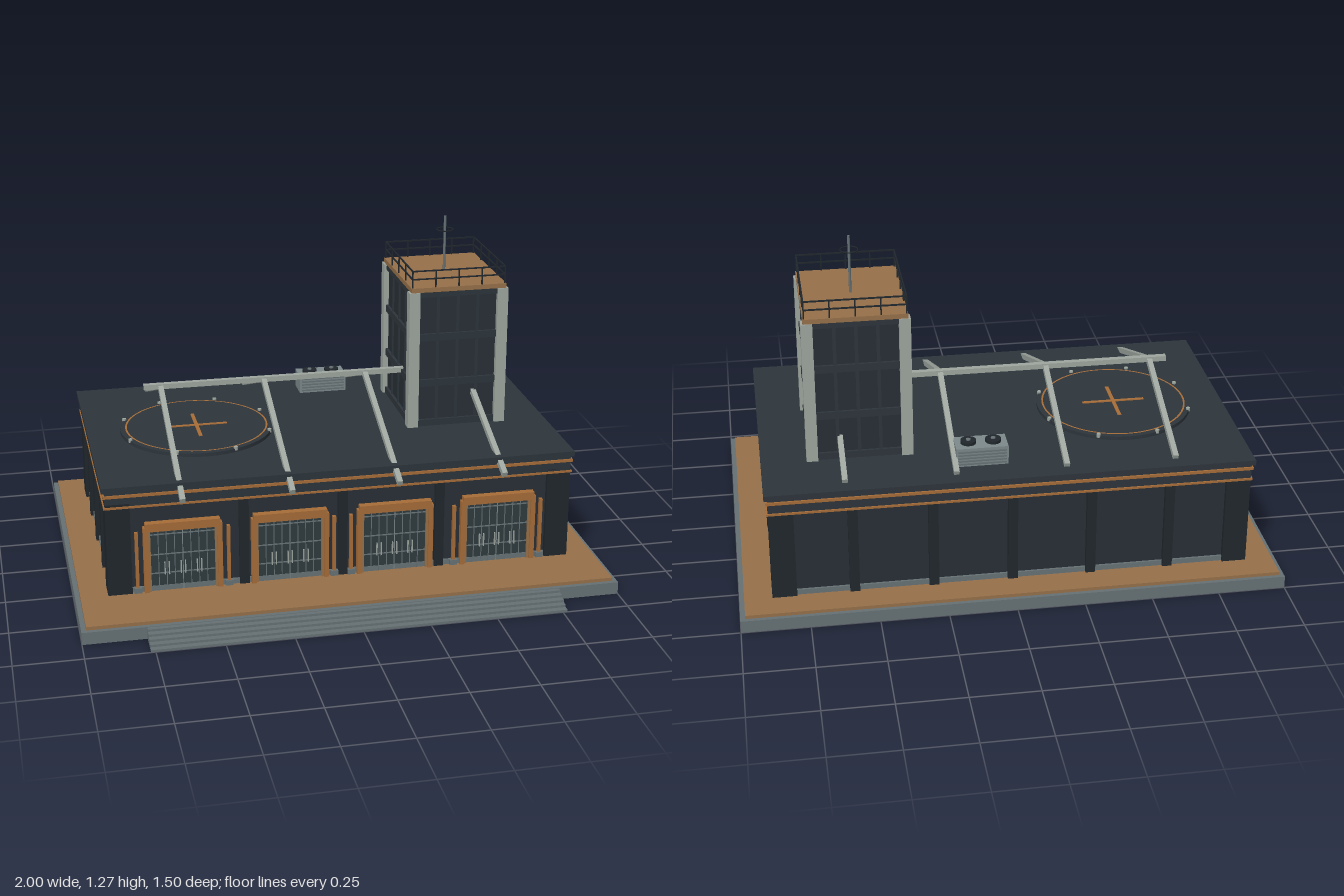
import * as THREE from 'three';

const mat = (name, color, extra = {}) => {
  const m = new THREE.MeshStandardMaterial({ color, ...extra });
  m.name = name;
  return m;
};

export function createModel() {
  const stone = mat('stone grey', 0x667174);
  const deck = mat('copper deck', 0x96704a);
  const trim = mat('copper trim', 0xa66c38);
  const dark = mat('dark cladding', 0x2d353b);
  const panel = mat('wall panel', 0x282f36);
  const black = mat('pilaster black', 0x20272c);
  const glass = mat('door glass', 0x2f3a3e);
  const steel = mat('pale steel', 0x9ea69f);
  const metal = mat('mid metal', 0x7c898b);

  const root = new THREE.Group();
  root.name = 'station';
  const group = (name) => {
    const g = new THREE.Group();
    g.name = name;
    root.add(g);
    return g;
  };
  const add = (g, name, geo, m, x = 0, y = 0, z = 0) => {
    const mesh = new THREE.Mesh(geo, m);
    mesh.name = name;
    mesh.position.set(x, y, z);
    g.add(mesh);
    return mesh;
  };
  // box from its extents along each axis
  const box = (g, name, m, x0, x1, y0, y1, z0, z1) =>
    add(g, name, new THREE.BoxGeometry(x1 - x0, y1 - y0, z1 - z0), m,
      (x0 + x1) / 2, (y0 + y1) / 2, (z0 + z1) / 2);
  const cyl = (g, name, m, r, h, x, y, z, n = 16) =>
    add(g, name, new THREE.CylinderGeometry(r, r, h, n), m, x, y, z);

  // plinth, deck and front steps
  const base = group('base');
  box(base, 'plinth', stone, -1, 1, 0, 0.047, -0.75, 0.645);
  box(base, 'deck', deck, -0.982, 0.982, 0.047, 0.06, -0.735, 0.628);
  for (let i = 0; i < 5; i++)
    box(base, 'step', stone, -0.767, 0.767, 0, 0.009 * (i + 1), 0.63, 0.75 - 0.022 * i);

  // hall walls: recessed core, skirting, corner piers, pilasters
  const hall = group('hall');
  box(hall, 'wallCore', panel, -0.86, 0.86, 0.06, 0.42, -0.615, 0.38);
  box(hall, 'skirting', stone, -0.868, 0.868, 0.06, 0.08, -0.623, 0.388);
  for (const s of [-1, 1]) {
    const a = s < 0 ? -0.88 : 0.79, b = s < 0 ? -0.79 : 0.88;
    box(hall, 'cornerPier', black, a, b, 0.06, 0.42, 0.305, 0.397);
    box(hall, 'cornerPier', black, a, b, 0.06, 0.42, -0.632, -0.538);
    for (const z of [0.135, -0.117, -0.36])
      box(hall, 'sidePilaster', black, s * 0.866 - 0.012, s * 0.866 + 0.012, 0.06, 0.42, z - 0.018, z + 0.018);
  }
  for (let i = -2; i <= 2; i++)
    box(hall, 'backPilaster', black, i * 0.29 - 0.018, i * 0.29 + 0.018, 0.06, 0.42, -0.632, -0.6);
  for (const x of [-0.372, 0, 0.372])
    box(hall, 'frontPilaster', black, x - 0.018, x + 0.018, 0.06, 0.42, 0.37, 0.395);
  for (const x of [-0.77, -0.43, -0.032, 0.032, 0.43, 0.77]) {
    box(hall, 'copperStrip', trim, x - 0.006, x + 0.006, 0.08, 0.3, 0.37, 0.396);
    box(hall, 'stripFoot', stone, x - 0.014, x + 0.014, 0.06, 0.08, 0.37, 0.4);
  }

  // fascia, copper bands, roof slab
  const roof = group('roof');
  box(roof, 'fascia', dark, -0.88, 0.88, 0.41, 0.47, -0.633, 0.397);
  box(roof, 'lowerBand', trim, -0.885, 0.885, 0.403, 0.411, -0.638, 0.401);
  box(roof, 'upperBand', trim, -0.886, 0.886, 0.446, 0.457, -0.639, 0.402);
  box(roof, 'roofSlab', dark, -0.892, 0.892, 0.468, 0.488, -0.645, 0.403);

  // four glazed entrances with stepped copper portals
  for (const cx of [-0.6, -0.2, 0.2, 0.6]) {
    const d = group('entrance');
    d.position.x = cx;
    box(d, 'doorGlass', glass, -0.13, 0.13, 0.06, 0.305, 0.37, 0.386);
    for (const s of [-1, 1]) {
      box(d, 'jamb', trim, s * 0.137 - 0.009, s * 0.137 + 0.009, 0.06, 0.32, 0.37, 0.403);
      box(d, 'innerJamb', deck, s * 0.124 - 0.005, s * 0.124 + 0.005, 0.06, 0.3, 0.37, 0.395);
    }
    box(d, 'lintel', trim, -0.146, 0.146, 0.303, 0.32, 0.37, 0.403);
    box(d, 'lintelCap', trim, -0.138, 0.138, 0.32, 0.337, 0.37, 0.408);
    for (const x of [-0.09, -0.06, -0.03, 0, 0.03, 0.06, 0.09])
      box(d, 'mullion', x === 0 ? metal : stone, x - 0.0015, x + 0.0015, 0.06, 0.3, 0.384, 0.389);
    for (const y of [0.13, 0.205, 0.285])
      box(d, 'transom', stone, -0.12, 0.12, y - 0.002, y + 0.002, 0.384, 0.389);
    for (const x of [-0.068, -0.052, -0.008, 0.008, 0.052, 0.068])
      box(d, 'handle', steel, x - 0.002, x + 0.002, 0.125, 0.175, 0.387, 0.395);
  }

  // roof trusses: sloping ribs and the ridge beam
  const truss = group('truss');
  const rib = (x, z0, y0, z1, y1) => {
    const m = add(truss, 'rib', new THREE.BoxGeometry(0.02, 0.02, Math.hypot(z1 - z0, y1 - y0)),
      steel, x, (y0 + y1) / 2, (z0 + z1) / 2);
    m.rotation.x = -Math.atan2(y1 - y0, z1 - z0);
  };
  for (const x of [-0.605, -0.203, 0.199, 0.6]) {
    rib(x, -0.125, 0.672, 0.465, 0.443);
    rib(x, -0.59, 0.495, -0.125, 0.672);
  }
  box(truss, 'ridgeBeam', steel, -0.67, 0.38, 0.664, 0.684, -0.136, -0.114);

  // landing pad with marking, ring and edge lights
  const pad = group('landingPad');
  pad.position.set(-0.47, 0, -0.125);
  cyl(pad, 'padDisc', dark, 0.295, 0.014, 0, 0.495, 0, 48);
  const ring = add(pad, 'padRing', new THREE.RingGeometry(0.269, 0.276, 64), trim, 0, 0.5035, 0);
  ring.rotation.x = -Math.PI / 2;
  box(pad, 'markLong', trim, -0.007, 0.007, 0.5, 0.505, -0.12, 0.12);
  box(pad, 'markCross', trim, -0.12, 0.12, 0.5, 0.505, -0.007, 0.007);
  for (let i = 0; i < 8; i++) {
    const a = (i + 0.5) * Math.PI / 4;
    cyl(pad, 'edgeLight', steel, 0.008, 0.014, 0.291 * Math.cos(a), 0.502, 0.291 * Math.sin(a), 8);
  }

  // rooftop cooling unit
  const unit = group('coolingUnit');
  box(unit, 'unitBody', metal, 0.002, 0.193, 0.487, 0.56, -0.533, -0.437);
  for (let i = 0; i < 5; i++)
    box(unit, 'louver', stone, 0.01, 0.185, 0.496 + i * 0.012, 0.502 + i * 0.012, -0.538, -0.432);
  for (const x of [0.052, 0.143]) {
    cyl(unit, 'fanRim', black, 0.029, 0.014, x, 0.564, -0.485, 20);
    cyl(unit, 'fanHub', stone, 0.009, 0.006, x, 0.572, -0.485, 10);
  }

  // tower: recessed core, pale corner posts, bands and ribs
  const tower = group('tower');
  tower.position.set(0.53, 0, -0.187);
  const hx = 0.195, hz = 0.227;
  box(tower, 'towerCore', panel, -hx + 0.02, hx - 0.02, 0.487, 1.035, -hz + 0.02, hz - 0.02);
  for (const sx of [-1, 1]) for (const sz of [-1, 1]) {
    const x = sx * (hx - 0.021), z = sz * (hz - 0.021);
    box(tower, 'cornerPost', steel, x - 0.021, x + 0.021, 0.487, 1.033, z - 0.021, z + 0.021);
  }
  for (const y of [0.5, 0.665, 0.85, 1.025])
    box(tower, 'floorBand', dark, -hx + 0.01, hx - 0.01, y - 0.014, y + 0.014, -hz + 0.01, hz - 0.01);
  for (const k of [-1, 0, 1]) {
    const x = k * 0.078, z = k * 0.1;
    box(tower, 'towerRib', dark, x - 0.006, x + 0.006, 0.487, 1.03, -hz + 0.014, hz - 0.014);
    box(tower, 'towerRib', dark, -hx + 0.014, hx - 0.014, 0.487, 1.03, z - 0.006, z + 0.006);
  }
  box(tower, 'towerCap', deck, -0.187, 0.187, 1.033, 1.051, -0.222, 0.222);

  // railing around the tower top
  const t = 0.0025, rx = 0.182, rz = 0.216;
  for (const s of [-1, 1]) {
    for (const y of [1.085, 1.117]) {
      box(tower, 'rail', black, -rx, rx, y - t, y + t, s * rz - t, s * rz + t);
      box(tower, 'rail', black, s * rx - t, s * rx + t, y - t, y + t, -rz, rz);
    }
    for (let i = -2; i <= 2; i++) {
      const x = i * rx / 2, z = i * rz / 2;
      box(tower, 'railPost', black, x - t, x + t, 1.05, 1.117, s * rz - t, s * rz + t);
      box(tower, 'railPost', black, s * rx - t, s * rx + t, 1.05, 1.117, z - t, z + t);
    }
  }

  // mast with ring
  cyl(tower, 'mast', stone, 0.005, 0.22, 0, 1.16, 0, 10);
  const hoop = add(tower, 'mastRing', new THREE.TorusGeometry(0.032, 0.0025, 6, 28), black, 0, 1.216, 0);
  hoop.rotation.x = Math.PI / 2;

  return root;
}
